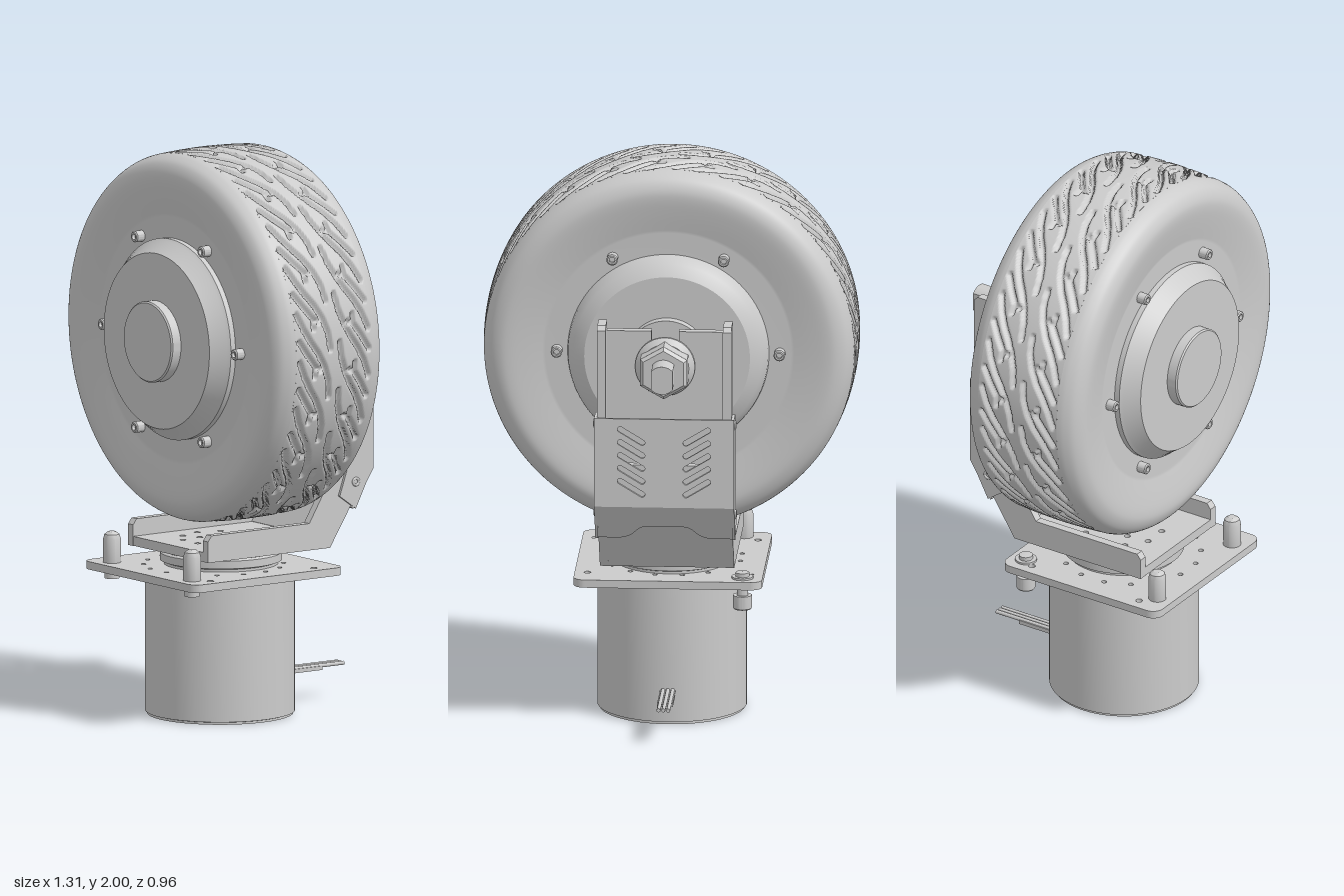
import * as THREE from 'three';
import { toCreasedNormals } from 'three/addons/utils/BufferGeometryUtils.js';

const V = (x, y) => new THREE.Vector2(x, y);
const AXLE_Y = 1.345, TYRE_Z = 0.107, MOTOR_Z = 0.124, R = 0.655;

export function createModel() {
  const root = new THREE.Group();
  const grey = new THREE.MeshStandardMaterial({ color: 0xcccccc, side: THREE.DoubleSide });

  // ---- helpers ----
  const add = (name, geo, x = 0, y = 0, z = 0, parent = root) => {
    const m = new THREE.Mesh(geo, grey);
    m.name = name;
    m.position.set(x, y, z);
    parent.add(m);
    return m;
  };
  const poly = pts => new THREE.Shape(pts.map(p => V(p[0], p[1])));
  const extrude = (shape, depth) =>
    new THREE.ExtrudeGeometry(shape, { depth, bevelEnabled: false, curveSegments: 12 });
  // outline given as [z, y], thickness along x
  const sidePlate = (pts, x0, x1) =>
    extrude(poly(pts.map(([z, y]) => [-z, y])), x1 - x0).rotateY(Math.PI / 2).translate(x0, 0, 0);
  // outline in x / -z, thickness upwards
  const flatPlate = (shape, t) => extrude(shape, t).rotateX(-Math.PI / 2);
  const cyl = (r, h, n = 32, r2 = r) => new THREE.CylinderGeometry(r, r2, h, n);
  const cylZ = (r, h, n = 32, r2 = r) => cyl(r, h, n, r2).rotateX(Math.PI / 2);
  const lathe = (pts, n = 64) =>
    toCreasedNormals(new THREE.LatheGeometry(pts.map(p => V(p[0], p[1])), n), 0.5);
  const rounded = (w, h, r) => {
    const s = new THREE.Shape(), a = w / 2 - r, b = h / 2 - r, q = Math.PI / 2;
    s.absarc(a, b, r, 0, q);
    s.absarc(-a, b, r, q, 2 * q);
    s.absarc(-a, -b, r, 2 * q, 3 * q);
    s.absarc(a, -b, r, 3 * q, 4 * q);
    s.closePath();
    return s;
  };
  const hole = (shape, x, y, r) => shape.holes.push(new THREE.Path().absarc(x, y, r, 0, Math.PI * 2, true));

  // ---- wheel ----
  const wheel = new THREE.Group();
  wheel.name = 'wheel';
  wheel.position.y = AXLE_Y;
  root.add(wheel);

  add('tyreTread', treadGeometry(), 0, 0, TYRE_Z, wheel);
  const wall = new THREE.SplineCurve([
    V(0.648, 0.165), V(0.641, 0.187), V(0.622, 0.215), V(0.59, 0.232), V(0.555, 0.235),
    V(0.5, 0.227), V(0.43, 0.213)]).getPoints(28);
  const wallGeo = new THREE.LatheGeometry([...wall, V(0.3, 0.213)], 128).rotateX(Math.PI / 2);
  add('tyreFrontWall', wallGeo, 0, 0, TYRE_Z, wheel);
  add('tyreBackWall', wallGeo.clone().rotateY(Math.PI), 0, 0, TYRE_Z, wheel);

  add('hub', lathe([[0, -0.22], [0.143, -0.22], [0.143, -0.18], [0.29, -0.18], [0.33, -0.155],
    [0.35, -0.125], [0.355, -0.09], [0.355, 0.34], [0.345, 0.35], [0.31, 0.4], [0.143, 0.4],
    [0.143, 0.435], [0.138, 0.44], [0, 0.44]], 96).rotateX(Math.PI / 2), 0, 0, 0, wheel);

  // rim screws on both faces
  const screw = lathe([[0.02, 0], [0.02, 0.034], [0.016, 0.038], [0.01, 0.038], [0.01, 0.026], [0, 0.026]], 16);
  for (let i = 0; i < 6; i++) for (const side of [1, -1]) {
    const a = i * Math.PI / 3;
    const s = add('rimScrew', screw, 0.39 * Math.cos(a), 0.39 * Math.sin(a), TYRE_Z + side * 0.21, wheel);
    s.rotation.x = side * Math.PI / 2;
  }

  // axle with two flats, flange nut
  add('axle', cylZ(0.045, 0.18), 0, 0, -0.29, wheel);
  const a = Math.acos(0.75), end = new THREE.Shape();
  end.absarc(0, 0, 0.05, a, Math.PI - a);
  end.absarc(0, 0, 0.05, Math.PI + a, 2 * Math.PI - a);
  add('axleEnd', extrude(end, 0.12), 0, 0, -0.485, wheel);
  add('nutFlange', cylZ(0.105, 0.012), 0, 0, -0.297, wheel);
  add('nutCone', cylZ(0.105, 0.02, 32, 0.085), 0, 0, -0.313, wheel);
  add('nut', toCreasedNormals(cylZ(0.095, 0.075, 6), 0.3), 0, 0, -0.345, wheel);
  add('nutChamfer', toCreasedNormals(cylZ(0.095, 0.012, 6, 0.082), 0.3), 0, 0, -0.389, wheel);

  // ---- fork bracket ----
  const bracket = new THREE.Group();
  bracket.name = 'bracket';
  root.add(bracket);
  const flange = [[0.35, 0.585], [0.35, 0.66], [0.335, 0.68], [-0.09, 0.68], [-0.255, 0.95],
    [-0.255, 1.5], [-0.335, 1.5], [-0.35, 1.485], [-0.35, 0.85], [-0.18, 0.585]];
  for (const s of [-1, 1])
    add('bracketFlange', sidePlate(flange, s * 0.22 - 0.015, s * 0.22 + 0.015), 0, 0, 0, bracket);

  // upright web, slotted for the axle
  const web = poly([[-0.21, 0.94], [0.21, 0.94], [0.21, 1.47], [0.048, 1.47], [0.048, AXLE_Y]]);
  web.absarc(0, AXLE_Y, 0.048, 0, Math.PI, true);
  web.lineTo(-0.048, 1.47);
  web.lineTo(-0.21, 1.47);
  add('bracketWeb', extrude(web, 0.032), 0, 0, -0.29, bracket);
  // sloping web on the outer side of the bend
  add('bracketSlope', sidePlate([[-0.18, 0.585], [-0.165, 0.62], [-0.32, 0.86], [-0.32, 1.0],
    [-0.348, 1.0], [-0.348, 0.85]], -0.21, 0.21), 0, 0, 0, bracket);

  // tray resting on the turntable
  const tray = rounded(0.44, 0.53, 0.02);
  for (let i = 0; i < 10; i++) {
    const t = i * Math.PI / 5;
    hole(tray, 0.14 * Math.cos(t), 0.14 * Math.sin(t) - 0.035, 0.011);
  }
  for (let i = 0; i < 4; i++) {
    const t = (i + 0.5) * Math.PI / 2;
    hole(tray, 0.075 * Math.cos(t), 0.075 * Math.sin(t) - 0.035, 0.011);
  }
  add('bracketTray', flatPlate(tray, 0.033), 0, 0.586, 0.085, bracket);

  // ---- slotted cover ----
  const cover = new THREE.Group();
  cover.name = 'cover';
  root.add(cover);
  const back = poly([[-0.245, 0.85], [0.245, 0.85], [0.245, 1.17], [-0.245, 1.17]]);
  for (const s of [-1, 1]) for (let i = 0; i < 5; i++) {
    // rounded slot leaning down towards the middle
    const cx = s * 0.115, cy = 0.92 + i * 0.047, t = s * 0.55, r = 0.01, L = 0.045;
    const dx = L * Math.cos(t), dy = L * Math.sin(t), q = Math.PI / 2;
    const p = new THREE.Path();
    p.absarc(cx + dx, cy + dy, r, t - q, t + q);
    p.absarc(cx - dx, cy - dy, r, t + q, t + 3 * q);
    p.closePath();
    back.holes.push(p);
  }
  add('coverBack', extrude(back, 0.01), 0, 0, -0.361, cover);
  for (const s of [-1, 1]) {
    add('coverSide', sidePlate([[-0.28, 1.17], [-0.355, 1.17], [-0.355, 0.85], [-0.285, 0.715],
      [-0.215, 0.765], [-0.28, 0.95]], s * 0.24 - 0.005, s * 0.24 + 0.005), 0, 0, 0, cover);
    for (const [z, y] of [[-0.312, 1.14], [-0.285, 0.81]])
      add('coverScrew', new THREE.TorusGeometry(0.012, 0.005, 8, 16).rotateY(Math.PI / 2), s * 0.245, y, z, cover);
  }
  // sloping tail with a wavy lower edge
  const tail = new THREE.Shape();
  tail.moveTo(-0.245, 0);
  tail.lineTo(-0.245, -0.16);
  tail.lineTo(-0.17, -0.16);
  tail.bezierCurveTo(-0.1, -0.16, -0.11, -0.1, -0.06, -0.1);
  tail.lineTo(0.06, -0.1);
  tail.bezierCurveTo(0.11, -0.1, 0.1, -0.16, 0.17, -0.16);
  tail.lineTo(0.245, -0.16);
  tail.lineTo(0.245, 0);
  add('coverTail', extrude(tail, 0.01), 0, 0.85, -0.361, cover).rotation.x = -Math.atan2(0.17, 0.265);

  // ---- turntable, mounting plate and motor ----
  add('turntable', lathe([[0, 0.525], [0.2, 0.525], [0.2, 0.54], [0.214, 0.545], [0.214, 0.572],
    [0.205, 0.578], [0.205, 0.587], [0, 0.587]]), 0, 0, MOTOR_Z - 0.004);
  const plate = rounded(0.66, 0.655, 0.04);
  for (let i = 0; i < 16; i++) {
    const t = (i + 0.5) * Math.PI / 8;
    hole(plate, 0.245 * Math.cos(t), 0.245 * Math.sin(t), 0.009);
  }
  for (const x of [-1, 1]) for (const y of [-1, 1]) hole(plate, x * 0.285, y * 0.225, 0.012);
  add('mountingPlate', flatPlate(plate, 0.028), 0, 0.503, 0.152);
  add('motor', lathe([[0, 0], [0.255, 0], [0.255, 0.008], [0.262, 0.01], [0.262, 0.505], [0, 0.505]]), 0, 0, MOTOR_Z);

  // domed pins at the front corners
  const pin = lathe([[0, 0.475], [0.026, 0.475], [0.026, 0.503], [0.031, 0.53], [0.031, 0.615],
    [0.026, 0.631], [0.014, 0.64], [0, 0.642]], 24);
  for (const s of [-1, 1]) add('cornerPin', pin, s * 0.235, 0, 0.42);

  // cap bolt hanging from the rear corner
  const bolt = lathe([[0, 0.44], [0.014, 0.44], [0.014, 0.42], [0.03, 0.42], [0.033, 0.424],
    [0.033, 0.47], [0.02, 0.47], [0.02, 0.53], [0.038, 0.53], [0.038, 0.538], [0.024, 0.538],
    [0.024, 0.552], [0, 0.556]], 24);
  add('rearBolt', bolt, -0.26, 0, -0.115);

  // flat cable leaving the back of the motor
  add('cableSleeve', new THREE.BoxGeometry(0.055, 0.014, 0.18), 0, 0.118, -0.21);
  for (const s of [-1, 0, 1])
    add('cableWire', cylZ(0.007, 0.27, 10), s * 0.017, 0.125, -0.265);
  return root;
}

// Tread band: a grid on the crown, pressed in along curved and forked grooves
function treadGeometry() {
  const PITCHES = 24, NT = PITCHES * 24, NV = 66, HALF = 0.165, pitch = 2 * Math.PI * R / PITCHES;
  const lines = [
    [[0.165, 0.15], [0.11, 0.128], [0.06, 0.1], [0.02, 0.072], [-0.03, 0.045], [-0.08, 0.028], [-0.14, 0.02]],
    [[0.24, 0.15], [0.19, 0.118], [0.145, 0.085], [0.135, 0.062]],
    [[0.145, 0.085], [0.11, 0.086]],
  ];
  const distance = (u, v) => {
    let best = 1;
    for (const line of lines) for (let i = 1; i < line.length; i++) {
      const [ax, ay] = line[i - 1], [bx, by] = line[i], dx = bx - ax, dy = by - ay;
      for (let k = -1; k <= 1; k++) {
        const px = u + k * pitch - ax, py = v - ay;
        const t = Math.min(1, Math.max(0, (px * dx + py * dy) / (dx * dx + dy * dy)));
        best = Math.min(best, Math.hypot(px - t * dx, py - t * dy));
      }
    }
    return best;
  };
  const pos = [], idx = [];
  for (let i = 0; i < NT; i++) for (let j = 0; j <= NV; j++) {
    const t = i / NT * 2 * Math.PI, v = (j / NV * 2 - 1) * HALF;
    // the two halves run in opposite directions, half a pitch apart
    const s = v < 0 ? -t * R + pitch / 2 : t * R;
    const u = ((s % pitch) + pitch) % pitch;
    const depth = 0.014 * (1 - THREE.MathUtils.smoothstep(distance(u, Math.abs(v)), 0.005, 0.011));
    const r = R - 0.257 * v * v - depth;
    pos.push(r * Math.cos(t), r * Math.sin(t), v);
    if (j < NV) {
      const a = i * (NV + 1) + j, b = ((i + 1) % NT) * (NV + 1) + j;
      idx.push(a, b, a + 1, b, b + 1, a + 1);
    }
  }
  const g = new THREE.BufferGeometry();
  g.setAttribute('position', new THREE.Float32BufferAttribute(pos, 3));
  g.setIndex(idx);
  g.computeVertexNormals();
  return g;
}
